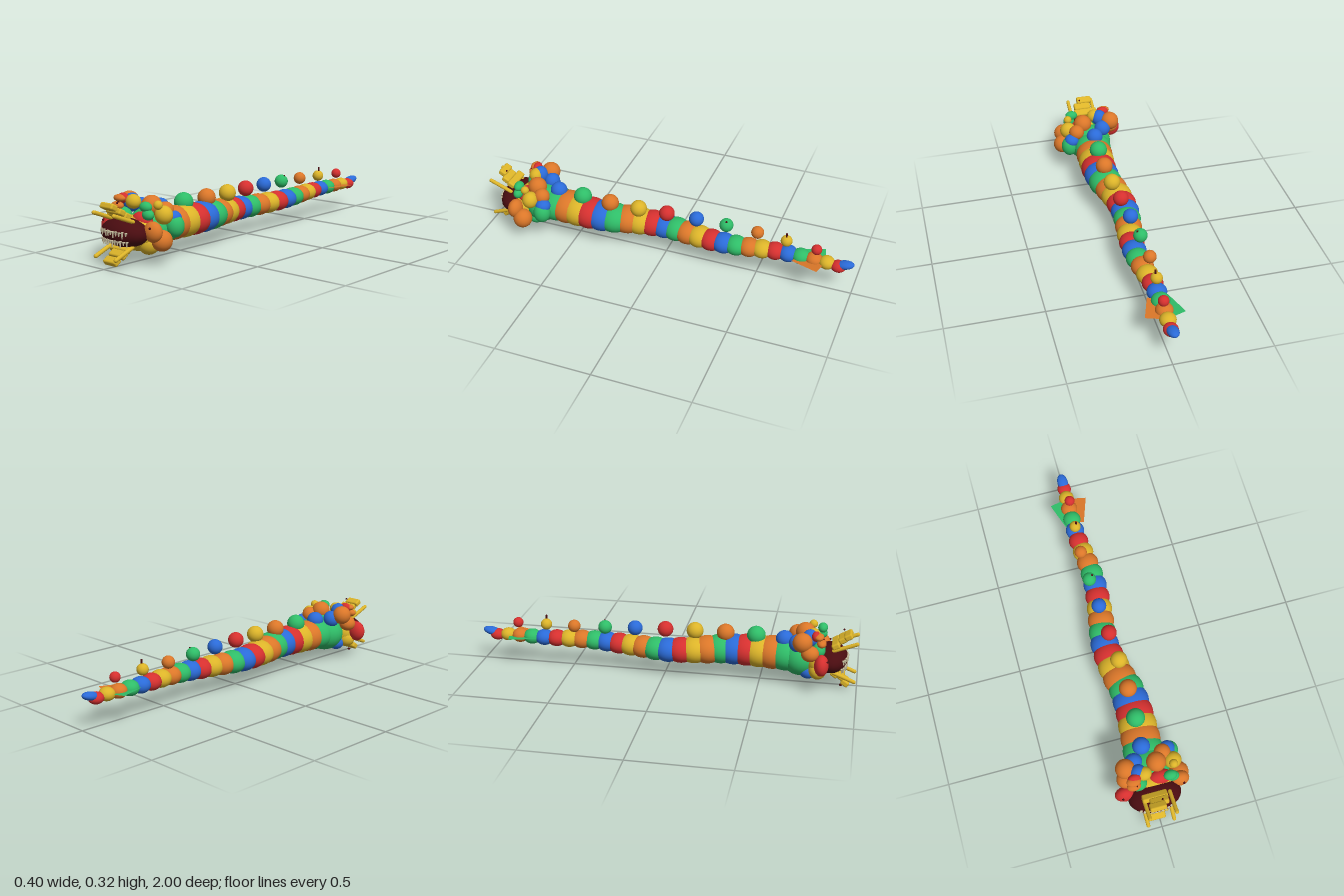
import * as THREE from 'three';
import { RoundedBoxGeometry } from 'three/addons/geometries/RoundedBoxGeometry.js';

const mat = (name, hex, side = THREE.FrontSide) => {
  const m = new THREE.MeshStandardMaterial({ color: hex, side });
  m.name = name;
  return m;
};

export function createModel() {
  const model = new THREE.Group();
  const red = mat('red', 0xd6302f);
  const orange = mat('orange', 0xdb7729, THREE.DoubleSide);
  const yellow = mat('yellow', 0xdcb429);
  const green = mat('green', 0x2fbd68, THREE.DoubleSide);
  const blue = mat('blue', 0x2b6bd8);
  const maroon = mat('dark maroon', 0x4a0c10);
  const cream = mat('cream', 0xc9c0a0);

  const ballGeo = new THREE.SphereGeometry(1, 28, 20);
  const add = (name, geo, material, x, y, z, parent = model) => {
    const mesh = new THREE.Mesh(geo, material);
    mesh.name = name;
    mesh.position.set(x, y, z);
    parent.add(mesh);
    return mesh;
  };
  const ball = (name, material, x, y, z, rx, ry = rx, rz = rx) => {
    const mesh = add(name, ballGeo, material, x, y, z);
    mesh.scale.set(rx, ry, rz);
    return mesh;
  };
  // Linear lookup in [z, value] pairs with falling z
  const lookup = (table, z) => {
    for (let i = 1; i < table.length; i++) {
      const [z0, a] = table[i - 1], [z1, b] = table[i];
      if (z >= z1) return a + (b - a) * Math.min(1, Math.max(0, (z0 - z) / (z0 - z1)));
    }
    return table[table.length - 1][1];
  };

  // Body: overlapping flattened balls along a winding spine
  const spine = [[0.65, 0], [0.5, 0.01], [0.4, 0.015], [0.3, 0.01], [0.2, -0.015], [0.1, -0.03], [0, -0.035],
    [-0.1, -0.02], [-0.2, -0.005], [-0.3, 0.005], [-0.4, 0.005], [-0.5, -0.005], [-0.6, -0.016], [-0.7, -0.018], [-0.9, -0.012]];
  const radius = [[0.65, 0.105], [0.5, 0.1], [0.35, 0.094], [0, 0.074], [-0.5, 0.056], [-0.72, 0.048], [-0.86, 0.041]];
  const height = [[0.6, 0.152], [0.3, 0.149], [0, 0.137], [-0.25, 0.14], [-0.5, 0.15], [-0.9, 0.152]];
  const cycle = [green, orange, yellow, red, blue];
  for (let i = 0; i < 23; i++) {
    const z = 0.63 - 0.0677 * i;
    const r = lookup(radius, z);
    ball('bodySegment', cycle[i % 5], lookup(spine, z), lookup(height, z), z, r, r * 0.83, r);
  }

  // Tail tip and flat tail fins
  ball('tailEnd', red, -0.01, 0.146, -0.92, 0.037, 0.03, 0.04);
  ball('tailTip', blue, -0.01, 0.163, -0.952, 0.029, 0.021, 0.048).rotation.x = 0.2;
  const fin = (name, material, side) => {
    const shape = new THREE.Shape([[0.018, 0.85], [0.1, 0.83], [0.052, 0.69], [0.018, 0.7]]
      .map(([x, y]) => new THREE.Vector2(x * side, y)));
    const geo = new THREE.ShapeGeometry(shape);
    geo.rotateX(-Math.PI / 2);
    add(name, geo, material, -0.01, 0.15, 0).rotation.z = side * 0.08;
  };
  fin('leftTailFin', orange, 1);
  fin('rightTailFin', green, -1);

  // Row of balls above the back: colour, x, y, z, radius
  [[blue, -0.01, 0.235, 0.622, 0.045], [green, 0.003, 0.24, 0.475, 0.048], [orange, 0.008, 0.24, 0.315, 0.046],
    [yellow, 0.004, 0.241, 0.155, 0.044], [red, -0.006, 0.242, 0, 0.041], [blue, -0.016, 0.24, -0.16, 0.039],
    [green, -0.025, 0.236, -0.32, 0.036], [orange, -0.028, 0.231, -0.487, 0.033],
    [yellow, -0.018, 0.226, -0.643, 0.03], [red, -0.007, 0.221, -0.803, 0.027],
  ].forEach(([m, x, y, z, r]) => ball('backBall', m, x, y, z, r));
  const pinGeo = new THREE.CylinderGeometry(0.005, 0.005, 0.05, 10);
  add('backPin', pinGeo, maroon, -0.012, 0.25, -0.643);
  add('backPin', pinGeo, maroon, -0.008, 0.245, -0.325);

  // Head: core and a cluster of balls (colour, x, y, z, rx, ry, rz)
  ball('headCore', green, 0, 0.148, 0.705, 0.118, 0.1, 0.1);
  ball('headFront', yellow, 0, 0.14, 0.8, 0.13, 0.085, 0.07);
  [[red, -0.148, 0.16, 0.82, 0.052, 0.055, 0.036], [orange, 0.137, 0.165, 0.815, 0.05, 0.05, 0.038],
    [orange, 0.148, 0.118, 0.77, 0.051, 0.051, 0.05], [orange, -0.121, 0.265, 0.72, 0.05, 0.05, 0.05],
    [orange, -0.13, 0.212, 0.76, 0.045, 0.04, 0.045], [blue, -0.065, 0.272, 0.755, 0.042, 0.045, 0.04],
    [blue, -0.07, 0.24, 0.69, 0.045, 0.045, 0.042], [orange, 0.037, 0.264, 0.725, 0.05, 0.05, 0.05],
    [orange, 0.082, 0.24, 0.68, 0.042, 0.042, 0.042], [yellow, 0.122, 0.23, 0.73, 0.045, 0.045, 0.042],
    [yellow, 0.116, 0.28, 0.76, 0.022, 0.022, 0.022], [yellow, -0.04, 0.28, 0.77, 0.04, 0.035, 0.035],
    [green, 0.128, 0.168, 0.662, 0.045, 0.055, 0.045], [blue, 0.115, 0.205, 0.66, 0.04, 0.035, 0.04],
    [green, 0.085, 0.275, 0.81, 0.034, 0.025, 0.025], [green, 0.1, 0.24, 0.81, 0.032, 0.026, 0.025],
    [green, -0.075, 0.215, 0.8, 0.045, 0.04, 0.035], [orange, -0.1, 0.294, 0.8, 0.036, 0.018, 0.025],
    [red, -0.092, 0.293, 0.785, 0.034, 0.025, 0.022], [orange, -0.102, 0.26, 0.815, 0.036, 0.02, 0.024],
    [yellow, -0.09, 0.108, 0.8, 0.05, 0.045, 0.045], [yellow, 0.08, 0.1, 0.79, 0.055, 0.055, 0.05],
    [blue, -0.06, 0.092, 0.75, 0.045, 0.042, 0.045], [green, 0.05, 0.085, 0.735, 0.05, 0.042, 0.05],
    [red, 0.04, 0.2, 0.79, 0.06, 0.045, 0.04],
  ].forEach(([m, ...p]) => ball('headBall', m, ...p));

  // Mouth and eyes
  const mouth = { x: -0.005, y: 0.152, z: 0.86, rx: 0.136, ry: 0.069, rz: 0.088 };
  ball('mouth', maroon, mouth.x, mouth.y, mouth.z, mouth.rx, mouth.ry, mouth.rz);
  ball('rightEye', maroon, -0.165, 0.188, 0.85, 0.006);
  ball('leftEye', maroon, 0.15, 0.188, 0.849, 0.006);
  ball('smallEye', maroon, -0.088, 0.279, 0.822, 0.005);
  ball('upperDot', maroon, 0.012, 0.301, 0.92, 0.005);
  ball('lowerDot', maroon, -0.018, 0.006, 0.92, 0.008, 0.006, 0.008);

  // Teeth: two rows lying on the curve of the mouth
  const surfaceZ = (x, y) => mouth.z + mouth.rz * Math.sqrt(Math.max(0,
    1 - ((x - mouth.x) / mouth.rx) ** 2 - ((y - mouth.y) / mouth.ry) ** 2));
  const toothGeo = new THREE.CylinderGeometry(0.0055, 0.003, 1, 8);
  const baseGeo = new RoundedBoxGeometry(0.015, 0.007, 0.008, 2, 0.003);
  const toothRow = (y, count) => {
    for (let i = 0; i < count; i++) {
      const x = -0.092 + 0.168 * i / (count - 1);
      const len = 0.021 + 0.007 * Math.sin(i * 2.3);
      const z = surfaceZ(x, y) + 0.001;
      add('gum', baseGeo, cream, x, y + 0.002 * Math.sin(i * 3.7), z);
      add('tooth', toothGeo, cream, x, y - len / 2, z + 0.002).scale.set(1, len, 1);
    }
  };
  toothRow(0.169, 11);
  toothRow(0.125, 12);

  // Jaws: stepped rounded blocks (x, y, z, width) and angled rods
  const jawBlock = (name, x, y, z, w, tilt) => {
    add(name, new RoundedBoxGeometry(w, 0.03, 0.042, 3, 0.009), yellow, x, y, z).rotation.x = tilt;
  };
  [[-0.018, 0.283, 0.945, 0.084], [-0.002, 0.259, 0.917, 0.095], [-0.015, 0.237, 0.885, 0.13]]
    .forEach((b) => jawBlock('upperJawBlock', ...b, -0.5));
  [[-0.01, 0.027, 0.94, 0.084], [0.007, 0.057, 0.915, 0.095], [-0.007, 0.08, 0.885, 0.125]]
    .forEach((b) => jawBlock('lowerJawBlock', ...b, 0.6));
  const rod = (name, x, y0, z0, y1, z1) => {
    const a = new THREE.Vector3(x, y0, z0), b = new THREE.Vector3(x, y1, z1);
    const dir = b.clone().sub(a);
    const mesh = add(name, new THREE.CapsuleGeometry(0.01, dir.length(), 6, 14), yellow, 0, 0, 0);
    mesh.position.copy(a).add(b).multiplyScalar(0.5);
    mesh.quaternion.setFromUnitVectors(new THREE.Vector3(0, 1, 0), dir.normalize());
  };
  for (const x of [-0.07, 0.066]) {
    rod('upperJawRod', x, 0.212, 0.875, 0.257, 0.99);
    rod('lowerJawRod', x, 0.092, 0.88, 0.05, 0.985);
  }
  return model;
}
